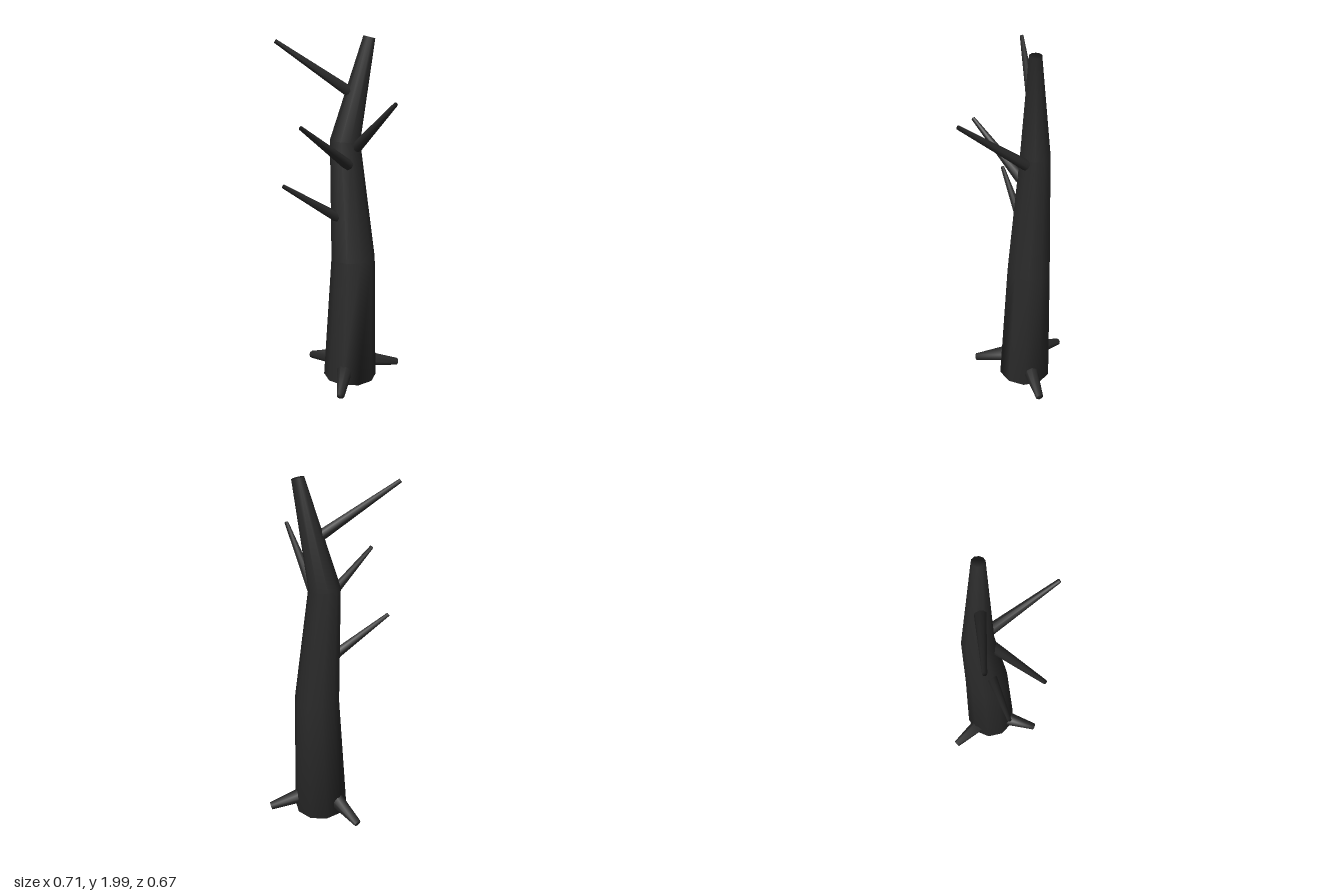
import * as THREE from 'three';

// Closed tapering limb through stations [x, y, z, radius], smooth shaded.
// Each ring is tilted square to the limb's direction.
function limb(stations, sides) {
  const pts = stations.map(([x, y, z]) => new THREE.Vector3(x, y, z));
  const pos = [], index = [];
  const n = pts.length;
  const up = new THREE.Vector3(0, 1, 0);
  pts.forEach((p, i) => {
    const dir = pts[Math.min(i + 1, n - 1)].clone().sub(pts[Math.max(i - 1, 0)]).normalize();
    const q = new THREE.Quaternion().setFromUnitVectors(up, dir);
    for (let s = 0; s < sides; s++) {
      const a = (s / sides) * Math.PI * 2;
      const v = new THREE.Vector3(Math.sin(a), 0, Math.cos(a))
        .multiplyScalar(stations[i][3]).applyQuaternion(q).add(p);
      pos.push(v.x, v.y, v.z);
    }
  });
  for (let i = 0; i < n - 1; i++) {
    for (let s = 0; s < sides; s++) {
      const t = (s + 1) % sides;
      const a = i * sides + s, b = i * sides + t;
      index.push(a, b, b + sides, a, b + sides, a + sides);
    }
  }
  // end caps
  const top = (n - 1) * sides;
  for (let s = 1; s < sides - 1; s++) {
    index.push(0, s + 1, s);
    index.push(top, top + s, top + s + 1);
  }
  const g = new THREE.BufferGeometry();
  g.setAttribute('position', new THREE.Float32BufferAttribute(pos, 3));
  g.setIndex(index);
  g.computeVertexNormals();
  return g;
}

export function createModel() {
  const group = new THREE.Group();
  const bark = new THREE.MeshStandardMaterial({ color: 0x2a2a2a });
  bark.name = 'charred bark';

  const add = (name, stations, sides) => {
    const mesh = new THREE.Mesh(limb(stations, sides), bark);
    mesh.name = name;
    group.add(mesh);
  };

  // Crooked trunk
  add('trunk', [
    [0.043, 0.012, -0.054, 0.156],
    [0.067, 0.75, -0.067, 0.126],
    [0.032, 1.43, -0.107, 0.085],
    [0.154, 1.99, -0.062, 0.033],
  ], 10);

  // Bare branches
  add('upperBranch', [[0.05, 1.7, -0.083, 0.03], [-0.345, 1.97, -0.14, 0.011]], 8);
  add('middleBranch', [[0.025, 1.305, -0.028, 0.031], [-0.297, 1.55, 0.152, 0.011]], 8);
  add('lowerBranch', [[0.0, 0.985, -0.055, 0.031], [-0.35, 1.215, -0.027, 0.011]], 8);
  add('frontBranch', [[0.078, 1.4, -0.045, 0.031], [0.147, 1.67, 0.325, 0.011]], 8);

  // Stubby roots
  add('leftRoot', [[0.13, 0.1, -0.055, 0.048], [0.352, 0.04, -0.055, 0.022]], 8);
  add('frontRoot', [[-0.025, 0.095, 0.04, 0.047], [-0.11, 0.037, 0.217, 0.022]], 8);
  add('backRoot', [[-0.025, 0.095, -0.145, 0.047], [-0.115, 0.037, -0.325, 0.022]], 8);

  return group;
}
